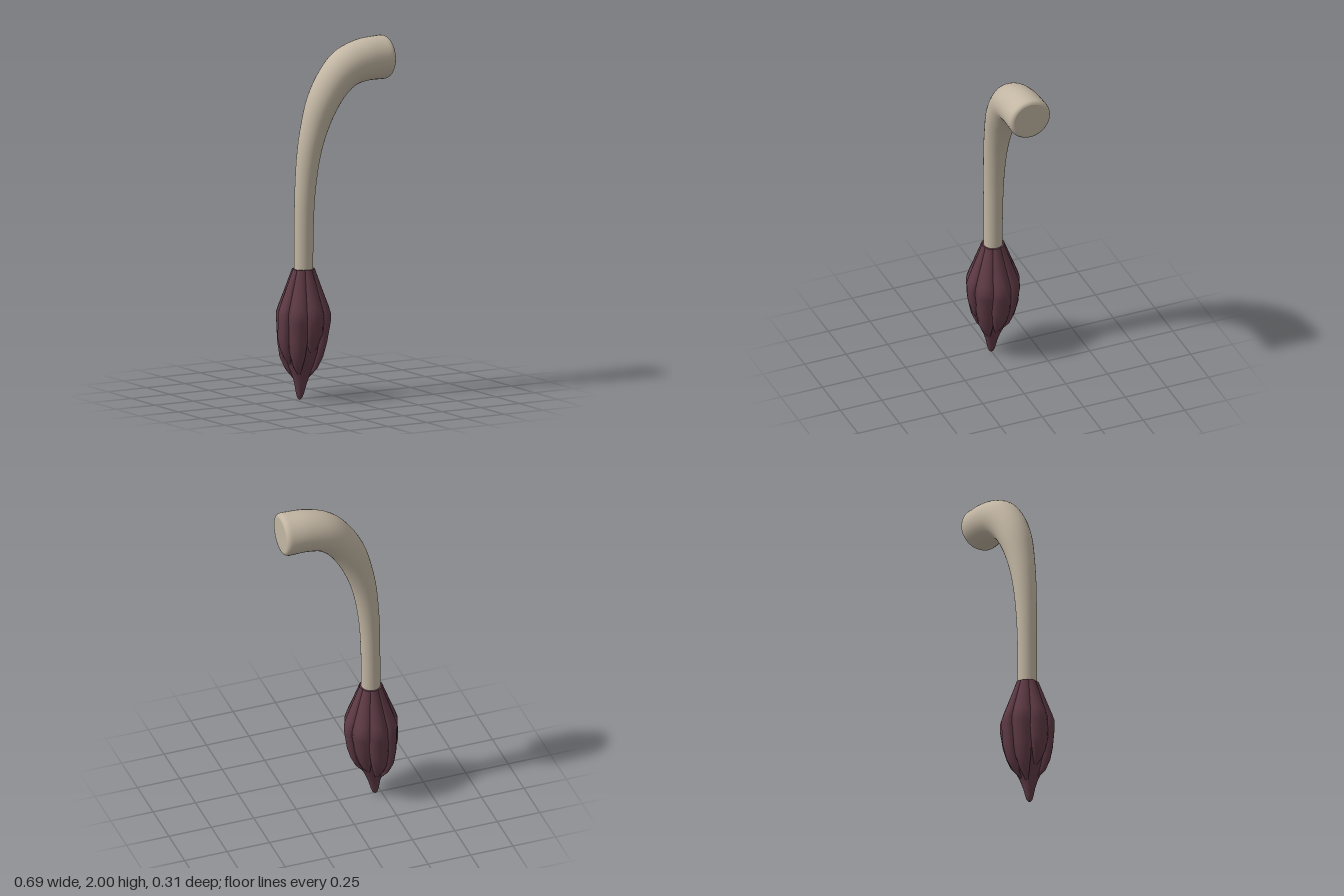
import * as THREE from 'three';

const hide = new THREE.MeshStandardMaterial({ color: 0xc2b6a3 });
hide.name = 'pale hide';
const hair = new THREE.MeshStandardMaterial({ color: 0x5e3a45 });
hair.name = 'dark plum hair';

// Closed skin over rings of points that turn counter-clockwise about the direction of travel
function loft(name, rings, material) {
  const n = rings[0].length, pos = [], idx = [];
  rings.forEach(r => r.forEach(p => pos.push(...p)));
  for (let i = 0; i < rings.length - 1; i++) {
    for (let j = 0; j < n; j++) {
      const k = (j + 1) % n;
      const a = i * n + j, b = i * n + k, c = (i + 1) * n + k, d = (i + 1) * n + j;
      idx.push(a, b, d, b, c, d);
    }
  }
  // Flat caps with their own vertices, so their rims stay sharp
  [rings[0], rings[rings.length - 1]].forEach((ring, end) => {
    const base = pos.length / 3;
    ring.forEach(p => pos.push(...p));
    pos.push(...[0, 1, 2].map(c => ring.reduce((s, p) => s + p[c], 0) / n));
    for (let j = 0; j < n; j++) {
      const a = base + j, b = base + (j + 1) % n;
      if (end) idx.push(base + n, a, b);
      else idx.push(base + n, b, a);
    }
  });
  const g = new THREE.BufferGeometry();
  g.setAttribute('position', new THREE.Float32BufferAttribute(pos, 3));
  g.setIndex(idx);
  g.computeVertexNormals();
  const mesh = new THREE.Mesh(g, material);
  mesh.name = name;
  return mesh;
}

// Bent, tapering shaft: each point is x, y and radius
function tailShaft() {
  const path = new THREE.CatmullRomCurve3([
    [-0.19, 0.68, 0.053], [-0.188, 0.95, 0.054], [-0.18, 1.17, 0.058], [-0.155, 1.38, 0.067],
    [-0.12, 1.52, 0.077], [-0.07, 1.65, 0.09], [0, 1.76, 0.1], [0.09, 1.84, 0.112],
    [0.2, 1.873, 0.119], [0.315, 1.878, 0.1225],
  ].map(p => new THREE.Vector3(...p)));
  const ring = (x, y, r, tx, ty) => Array.from({ length: 32 }, (_, j) => {
    const a = j / 32 * Math.PI * 2, c = Math.cos(a) * r;
    return [x - ty * c, y + tx * c, Math.sin(a) * r];
  });
  const rings = [];
  for (let i = 0; i <= 48; i++) {
    const p = path.getPoint(i / 48), t = path.getTangent(i / 48);
    t.z = 0;
    t.normalize();
    rings.push(ring(p.x, p.y, p.z, t.x, t.y));
  }
  // Rounded rim of the thick end
  for (const [x, r] of [[0.325, 0.121], [0.335, 0.116], [0.341, 0.109], [0.343, 0.1]]) {
    rings.push(ring(x, 1.878, r, 1, 0));
  }
  return loft('tailShaft', rings, hide);
}

// The tuft's axis leans toward -x near its tip
const axisX = y => -0.19 - 0.025 * Math.max(0, 1 - y / 0.4);

function tuftCore() {
  const profile = [
    [0.735, 0.06], [0.62, 0.09], [0.49, 0.122], [0.38, 0.12], [0.28, 0.106],
    [0.2, 0.076], [0.14, 0.05], [0.09, 0.034], [0.04, 0.023], [0.015, 0.015], [0.005, 0.006],
  ];
  const rings = profile.map(([y, r]) => Array.from({ length: 16 }, (_, j) => {
    const a = j / 16 * Math.PI * 2;
    return [axisX(y) + r * Math.cos(a), y, r * Math.sin(a)];
  }));
  return loft('tuftCore', rings, hair);
}

// One ridged lock of hair, from the collar down to its own end height
function lock(k, yEnd, belly) {
  const a = k * Math.PI / 4, ca = Math.cos(a), sa = Math.sin(a);
  const at = t => 0.46 + (yEnd - 0.46) * t;
  const endR = Math.max(0.03, yEnd * 0.37);
  // Height, ridge radius, half width
  const profile = [
    [0.735, 0.065, 0.027], [0.62, 0.108, 0.043], [0.53, 0.143, 0.055], [0.49, 0.156, 0.058],
    [0.45, 0.156, 0.058], [at(0.4), belly + 0.006, 0.054], [at(0.65), belly - 0.012, 0.043],
    [at(0.85), (belly + endR) / 2, 0.026], [at(1), endR, 0.007],
  ];
  const rings = profile.map(([y, r, w]) => [
    [0, 0], [-0.14, 0.5], [-0.5, 1], [-1.2, 0.6], [-1.2, -0.6], [-0.5, -1], [-0.14, -0.5],
  ].map(([u, v]) => {
    const e = r + u * w, f = v * w;
    return [axisX(y) + ca * e - sa * f, y, sa * e + ca * f];
  }));
  return loft('tuftLock', rings, hair);
}

export function createModel() {
  const model = new THREE.Group();
  model.name = 'tail';
  const tuft = new THREE.Group();
  tuft.name = 'tuft';
  tuft.add(tuftCore());
  // End height and belly radius of each lock, starting at +x and turning toward +z
  [
    [0.17, 0.138], [0.13, 0.132], [0.27, 0.142], [0.15, 0.138],
    [0.2, 0.15], [0.12, 0.14], [0.14, 0.145], [0.18, 0.135],
  ].forEach(([yEnd, belly], k) => tuft.add(lock(k, yEnd, belly)));
  model.add(tailShaft(), tuft);
  return model;
}
